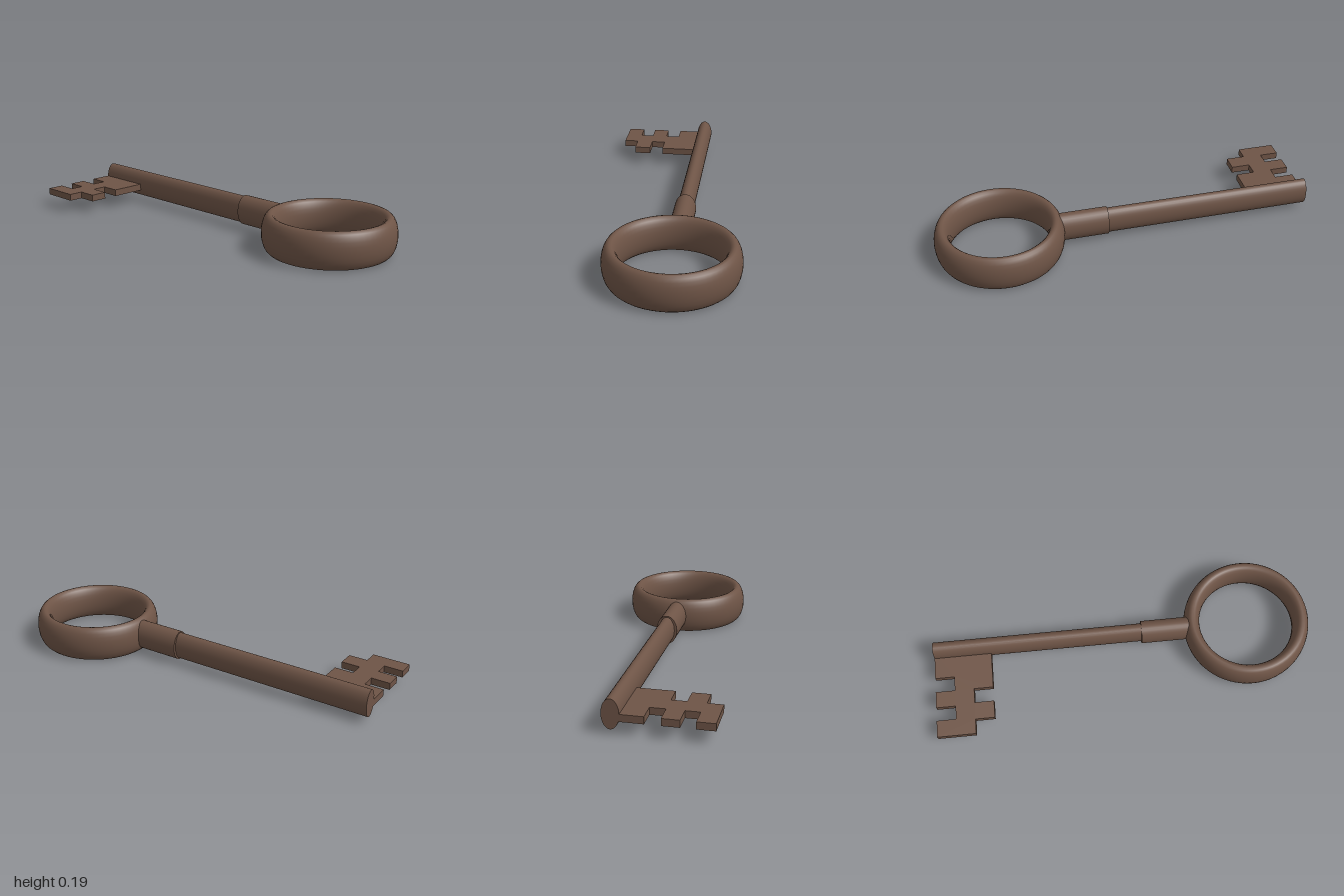
import * as THREE from 'three';

const AXIS_Z = -0.068;

export function createModel() {
  const group = new THREE.Group();
  group.name = 'key';
  const iron = new THREE.MeshStandardMaterial({ name: 'brown iron', color: 0x6e5446 });

  const add = (name, geometry, x, y, z) => {
    const mesh = new THREE.Mesh(geometry, iron);
    mesh.name = name;
    mesh.position.set(x, y, z);
    group.add(mesh);
  };

  // Oval rod lying along x, from x0 to x1
  const rod = (name, x0, x1, ry, rz) => {
    const geometry = new THREE.CylinderGeometry(1, 1, x1 - x0, 32);
    geometry.rotateZ(Math.PI / 2).scale(1, ry, rz);
    add(name, geometry, (x0 + x1) / 2, 0.098, AXIS_Z);
  };
  rod('shaft', -1, 0.15, 0.073, 0.042);
  rod('collar', 0.1, 0.37, 0.079, 0.056);

  // Ring handle: a torus lying flat, stretched in height
  const ring = new THREE.TorusGeometry(0.291, 0.042, 24, 64);
  ring.rotateX(Math.PI / 2).scale(1, 0.0945 / 0.042, 1);
  add('ringHandle', ring, 0.664, 0.0945, AXIS_Z);

  // Toothed bit, outlined in x and z
  const outline = [
    [-1, AXIS_Z], [-0.7, AXIS_Z], [-0.7, 0.16], [-0.8, 0.16], [-0.8, 0.235], [-0.7, 0.235],
    [-0.7, 0.325], [-0.8, 0.325], [-0.8, 0.402], [-1, 0.402], [-1, 0.315], [-0.9, 0.315],
    [-0.9, 0.245], [-1, 0.245], [-1, 0.16], [-0.9, 0.16], [-0.9, 0.085], [-1, 0.085],
  ];
  const shape = new THREE.Shape(outline.map(([x, z]) => new THREE.Vector2(x, z)));
  const bit = new THREE.ExtrudeGeometry(shape, { depth: 0.036, bevelEnabled: false });
  bit.rotateX(Math.PI / 2);
  add('bit', bit, 0, 0.101, 0);

  return group;
}
